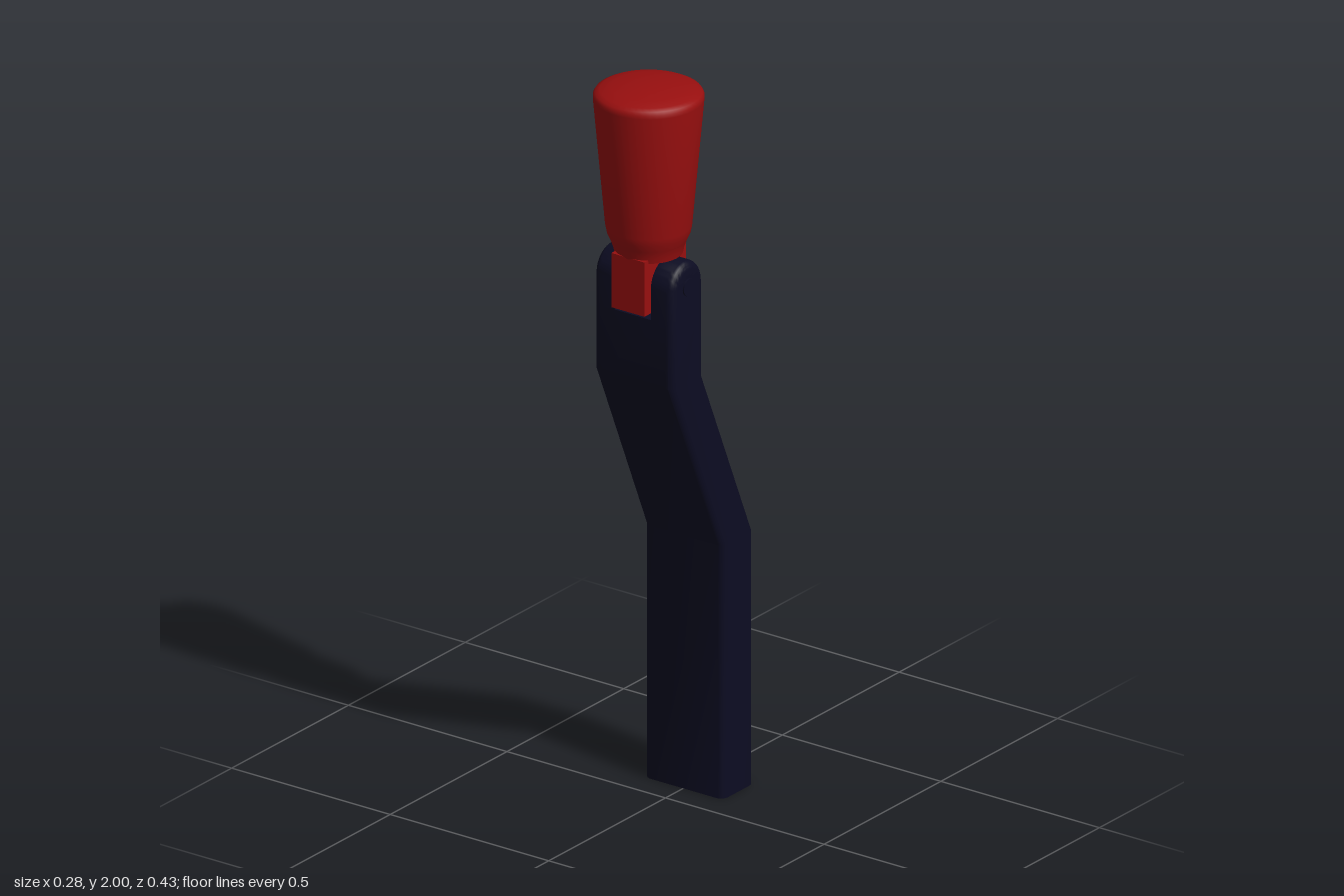
import * as THREE from 'three';
import { toCreasedNormals } from 'three/addons/utils/BufferGeometryUtils.js';

const navy = new THREE.MeshStandardMaterial({ color: 0x0c0c22 });
navy.name = 'navy';
const red = new THREE.MeshStandardMaterial({ color: 0x980f0f });
red.name = 'red';

const HEAD_Z = 0.072, HALF_DEPTH = 0.068, HALF_WIDTH = 0.125, ROUND = 0.022;
const SLOT_Y = 1.385, PIVOT_Y = 1.47, SLOT_HALF = 0.057;

// Skin a closed solid over matching rings of points, with capped ends
function loft(rings) {
  const pos = [];
  const tri = (...pts) => pts.forEach((p) => pos.push(p.x, p.y, p.z));
  const n = rings[0].length;
  const centre = (ring) => ring.reduce((s, p) => s.add(p), new THREE.Vector3()).divideScalar(n);
  const first = rings[0], last = rings[rings.length - 1];
  const c0 = centre(first), c1 = centre(last);
  for (let i = 0; i < n; i++) {
    const j = (i + 1) % n;
    for (let k = 0; k < rings.length - 1; k++) {
      const a = rings[k], b = rings[k + 1];
      tri(a[i], b[i], a[j]);
      tri(a[j], b[i], b[j]);
    }
    tri(c0, first[i], first[j]);
    tri(c1, last[j], last[i]);
  }
  const geo = new THREE.BufferGeometry();
  geo.setAttribute('position', new THREE.Float32BufferAttribute(pos, 3));
  return toCreasedNormals(geo, 0.5);
}

// Rounded rectangular slice of the arm
function armRing(y, z) {
  const pts = [];
  const corners = [[1, 1], [-1, 1], [-1, -1], [1, -1]];
  corners.forEach(([sx, sz], q) => {
    for (let i = 0; i <= 5; i++) {
      const t = (q + i / 5) * Math.PI / 2;
      pts.push(new THREE.Vector3(
        sx * (HALF_WIDTH - ROUND) + Math.cos(t) * ROUND, y,
        z + sz * (HALF_DEPTH - ROUND) + Math.sin(t) * ROUND));
    }
  });
  return pts;
}

// Round-topped outline of a fork prong at a given x
function prongRing(x, inset) {
  const r = HALF_DEPTH - inset;
  const pts = [];
  for (let i = 0; i <= 24; i++) {
    const t = i / 24 * Math.PI;
    pts.push(new THREE.Vector3(x, PIVOT_Y + Math.sin(t) * r, HEAD_Z + Math.cos(t) * r));
  }
  pts.push(new THREE.Vector3(x, SLOT_Y, HEAD_Z - r), new THREE.Vector3(x, SLOT_Y, HEAD_Z + r));
  return pts;
}

export function createModel() {
  const group = new THREE.Group();
  const add = (name, geo, mat, x = 0, y = 0, z = 0) => {
    const mesh = new THREE.Mesh(geo, mat);
    mesh.name = name;
    mesh.position.set(x, y, z);
    group.add(mesh);
    return mesh;
  };

  // Cranked arm
  add('arm', loft([[0, -0.144], [0.7, -0.144], [1.205, HEAD_Z], [SLOT_Y, HEAD_Z]]
    .map(([y, z]) => armRing(y, z))), navy);

  // Fork prongs with rounded outer edges, and the pivot ends
  for (const side of [1, -1]) {
    const rings = [[SLOT_HALF, 0]];
    for (let i = 0; i <= 5; i++) {
      const t = i / 5 * Math.PI / 2;
      rings.push([HALF_WIDTH - ROUND + Math.sin(t) * ROUND, ROUND * (1 - Math.cos(t))]);
    }
    if (side < 0) rings.reverse();
    const name = side > 0 ? 'left' : 'right';
    add(name + 'Prong', loft(rings.map(([x, d]) => prongRing(side * x, d))), navy);
    const pin = add(name + 'PivotEnd', new THREE.CylinderGeometry(0.024, 0.024, 0.03, 24),
      navy, side * 0.114, PIVOT_Y, HEAD_Z);
    pin.rotation.z = Math.PI / 2;
  }

  // Tang that sits in the fork
  add('tang', new THREE.BoxGeometry(0.104, 0.15, 0.178), red, 0, 1.475, HEAD_Z);

  // Flared knob with a shallow domed top
  const profile = [
    [0, 1.54], [0.088, 1.54], [0.091, 1.555], [0.098, 1.575], [0.107, 1.595], [0.111, 1.615],
    [0.142, 1.962], [0.142, 1.972], [0.137, 1.98], [0.125, 1.986], [0.095, 1.993], [0.05, 1.998], [0, 2],
  ].map(([r, y]) => new THREE.Vector2(r, y));
  add('knob', toCreasedNormals(new THREE.LatheGeometry(profile, 48), 0.65), red, 0, 0, HEAD_Z);

  return group;
}
